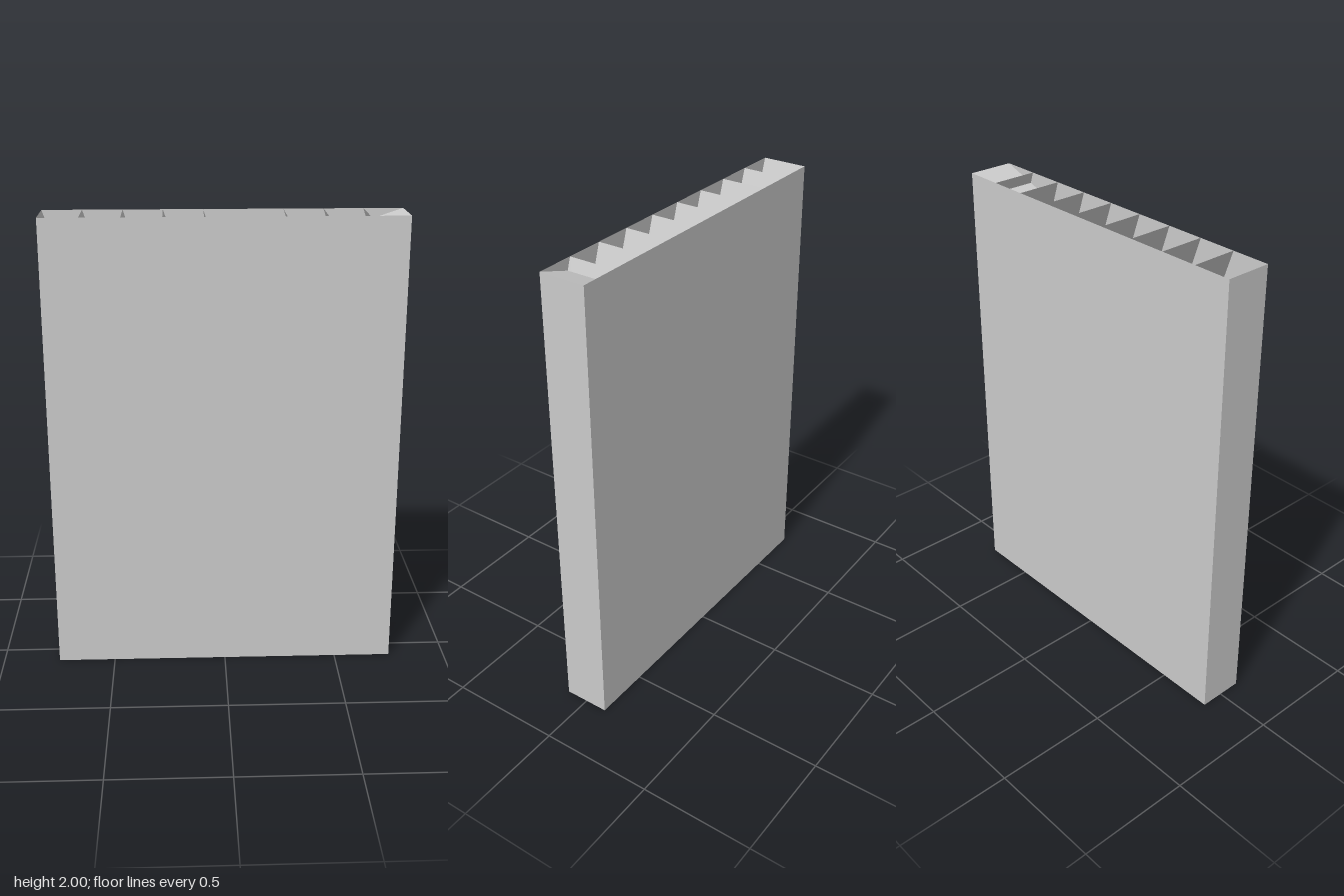
import * as THREE from 'three';

const W = 1.5, H = 2, D = 0.2, CELL = W / 9;
const material = new THREE.MeshStandardMaterial({ color: 0xcccccc, flatShading: true, side: THREE.DoubleSide });

// Thin sheet spanning the full depth between two points of the x-y plane
function sheet(name, x0, y0, x1, y1) {
  const geo = new THREE.PlaneGeometry(Math.hypot(x1 - x0, y1 - y0), D);
  geo.rotateX(-Math.PI / 2);
  geo.rotateZ(Math.atan2(y1 - y0, x1 - x0));
  geo.translate((x0 + x1) / 2, (y0 + y1) / 2, 0);
  const mesh = new THREE.Mesh(geo, material);
  mesh.name = name;
  return mesh;
}

export function createModel() {
  const model = new THREE.Group();
  model.name = 'latticePanel';
  const L = -W / 2, R = W / 2;

  // Front and back panels
  for (const side of [1, -1]) {
    const geo = new THREE.PlaneGeometry(W, H);
    if (side < 0) geo.rotateY(Math.PI);
    const panel = new THREE.Mesh(geo, material);
    panel.position.set(0, H / 2, side * D / 2);
    panel.name = side > 0 ? 'frontPanel' : 'backPanel';
    model.add(panel);
  }

  // Narrow side walls; top and bottom stay open
  model.add(sheet('leftWall', R, 0, R, H), sheet('rightWall', L, H, L, 0));

  // Steep slats, falling 3 in 1 towards +x, clipped to the frame
  const steep = new THREE.Group();
  steep.name = 'steepSlats';
  for (let i = -3; i < 9; i++) {
    const xTop = L + i * CELL;
    const x0 = Math.max(L, xTop), x1 = Math.min(R, xTop + H / 3);
    steep.add(sheet('steepSlat', x0, H - 3 * (x0 - xTop), x1, H - 3 * (x1 - xTop)));
  }
  model.add(steep);

  // Shallow slats square to the steep ones, falling 1 in 3 towards -x
  const shallow = new THREE.Group();
  shallow.name = 'shallowSlats';
  for (let j = 0; j < 11; j++) {
    const y = H - j * CELL;
    const x0 = Math.max(L, R - 3 * y);
    shallow.add(sheet('shallowSlat', x0, y - (R - x0) / 3, R, y));
  }
  model.add(shallow);
  return model;
}
